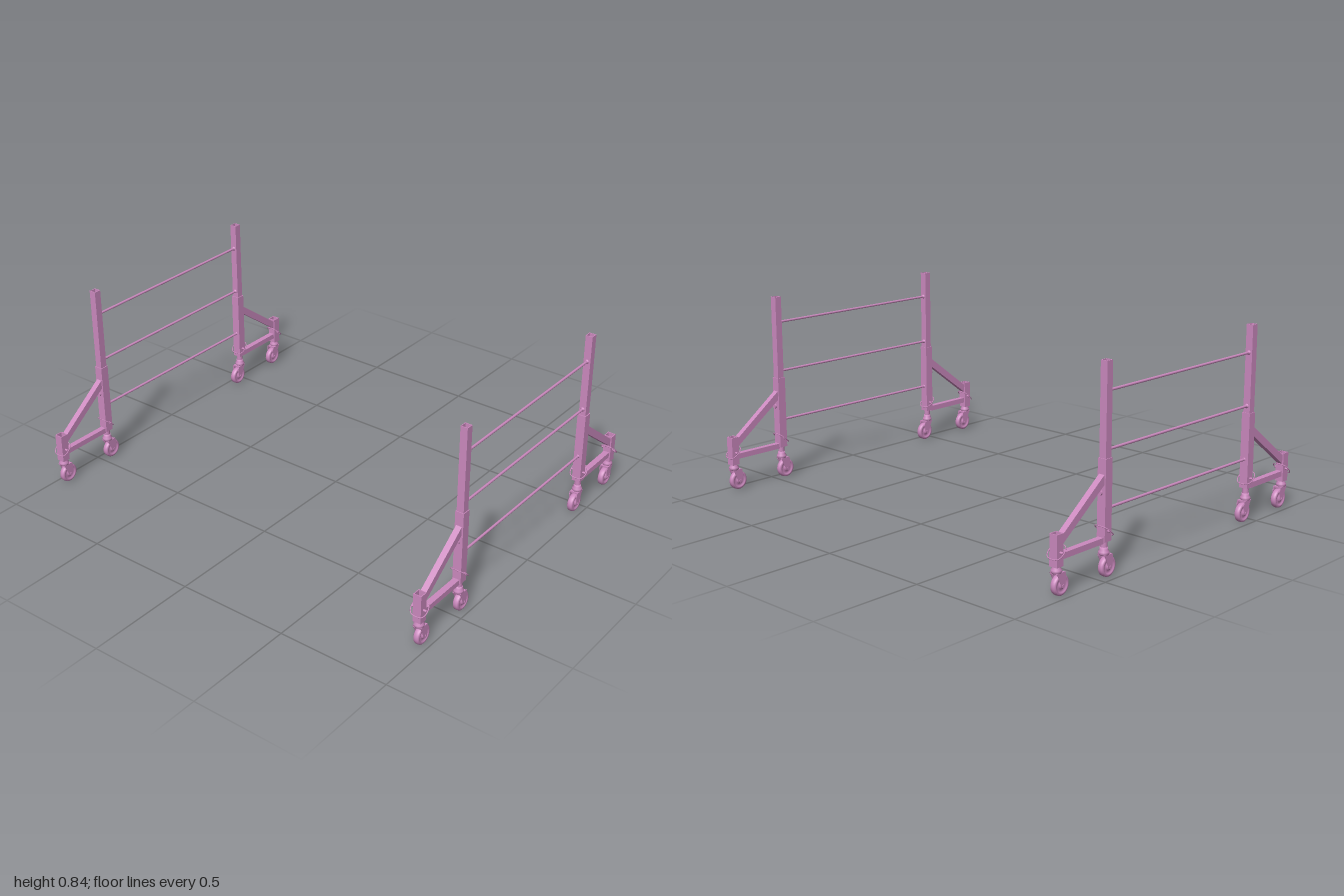
import * as THREE from 'three';

const paint = new THREE.MeshStandardMaterial({ color: 0xcc8abf, side: THREE.DoubleSide });

function add(parent, name, geometry, x = 0, y = 0, z = 0) {
  const mesh = new THREE.Mesh(geometry, paint);
  mesh.name = name;
  mesh.position.set(x, y, z);
  parent.add(mesh);
  return mesh;
}

// Upright square tube, open at both ends, standing on its origin
function squareTube(width, height, wall) {
  const square = (s) => [[-s, -s], [s, -s], [s, s], [-s, s]].map(([x, y]) => new THREE.Vector2(x, y));
  const shape = new THREE.Shape(square(width / 2));
  shape.holes.push(new THREE.Path(square(width / 2 - wall).reverse()));
  return new THREE.ExtrudeGeometry(shape, { depth: height, bevelEnabled: false }).rotateX(-Math.PI / 2);
}

// Plate drawn in the z-y plane and centred on its thickness along x
function sidePlate(points, thickness) {
  const shape = new THREE.Shape(points.map(([z, y]) => new THREE.Vector2(z, y)));
  return new THREE.ExtrudeGeometry(shape, { depth: thickness, bevelEnabled: false })
    .translate(0, 0, -thickness / 2).rotateY(-Math.PI / 2);
}

function lathe(points, segments) {
  return new THREE.LatheGeometry(points.map(([r, y]) => new THREE.Vector2(r, y)), segments);
}

// Swivel caster: stem, head, fork and wheel trailing towards the middle
function makeCaster() {
  const g = new THREE.Group();
  g.name = 'caster';
  add(g, 'casterStem', new THREE.CylinderGeometry(0.014, 0.014, 0.05, 16), 0, 0.14, 0);
  add(g, 'swivelHead', lathe([[0, 0.092], [0.018, 0.092], [0.022, 0.098], [0.022, 0.106],
    [0.016, 0.114], [0.016, 0.124], [0, 0.124]], 20));
  add(g, 'forkCrown', new THREE.BoxGeometry(0.036, 0.006, 0.042), 0, 0.092, -0.006);
  const cheek = sidePlate([[0.016, 0.095], [-0.03, 0.095], [-0.034, 0.075], [-0.028, 0.038],
    [-0.019, 0.031], [-0.01, 0.038], [0.004, 0.072]], 0.003);
  for (const s of [-1, 1]) add(g, 'forkCheek', cheek, s * 0.0175);
  const axle = add(g, 'axle', new THREE.CylinderGeometry(0.006, 0.006, 0.042, 12), 0, 0.042, -0.019);
  axle.rotation.z = Math.PI / 2;
  // Tyre, recessed web and raised hub in one profile
  const wheel = add(g, 'wheel', lathe([[0.004, -0.015], [0.013, -0.015], [0.014, -0.008], [0.027, -0.008],
    [0.029, -0.013], [0.036, -0.013], [0.041, -0.009], [0.042, 0], [0.041, 0.009], [0.036, 0.013],
    [0.029, 0.013], [0.027, 0.008], [0.014, 0.008], [0.013, 0.015], [0.004, 0.015]], 32), 0, 0.042, -0.019);
  wheel.rotation.z = Math.PI / 2;
  return g;
}

// Locking pin with a wire loop snapped round the post
function makeLockPin(tilt) {
  const g = new THREE.Group();
  g.name = 'lockPin';
  const pin = add(g, 'pin', new THREE.CylinderGeometry(0.005, 0.005, 0.066, 10));
  pin.rotation.z = Math.PI / 2;
  const outline = [[0.036, 0], [0.033, 0.018], [0.022, 0.031], [-0.022, 0.031], [-0.033, 0.018],
    [-0.036, 0], [-0.033, -0.018], [-0.022, -0.031], [0.022, -0.031], [0.033, -0.018]];
  const curve = new THREE.CatmullRomCurve3(outline.map(([x, z]) => new THREE.Vector3(x, 0, z)), true);
  add(g, 'wireLoop', new THREE.TubeGeometry(curve, 40, 0.0022, 6, true));
  g.rotation.x = tilt;
  return g;
}

// One end of a frame: post, sleeve, outrigger and two casters
function makeEnd() {
  const g = new THREE.Group();
  g.name = 'frameEnd';
  const inner = 0.466, outer = 0.737;
  add(g, 'post', squareTube(0.032, 0.69, 0.003), 0, 0.155, inner);
  add(g, 'sleeve', squareTube(0.039, 0.325, 0.0036), 0, 0.148, inner);
  add(g, 'outriggerPost', squareTube(0.037, 0.127, 0.0036), 0, 0.118, outer);
  add(g, 'outriggerBar', new THREE.BoxGeometry(0.026, 0.024, 0.236), 0, 0.154, 0.602);
  add(g, 'diagonalBrace', sidePlate([[0.484, 0.413], [0.484, 0.373], [0.72, 0.198], [0.72, 0.235]], 0.026));

  // Tightening knob on the outer face of the sleeve
  const stud = add(g, 'knobStud', new THREE.CylinderGeometry(0.004, 0.004, 0.012, 10), 0, 0.342, 0.489);
  const knob = add(g, 'knob', new THREE.CylinderGeometry(0.01, 0.01, 0.008, 12), 0, 0.342, 0.494);
  stud.rotation.x = knob.rotation.x = Math.PI / 2;

  for (const [z, y, tilt] of [[inner, 0.19, -0.7], [outer, 0.174, 0.75]]) {
    const lock = makeLockPin(tilt);
    lock.position.set(0, y, z);
    const caster = makeCaster();
    caster.position.z = z;
    g.add(lock, caster);
  }
  return g;
}

function makeFrame() {
  const g = new THREE.Group();
  g.name = 'sideFrame';
  const front = makeEnd(), back = makeEnd();
  back.rotation.y = Math.PI;
  g.add(front, back);
  // Ladder rungs with weld collars
  for (const y of [0.728, 0.502, 0.273]) {
    const rung = add(g, 'rung', new THREE.CylinderGeometry(0.0055, 0.0055, 0.9, 12), 0, y, 0);
    rung.rotation.x = Math.PI / 2;
    for (const s of [-1, 1]) {
      const collar = add(g, 'rungCollar', new THREE.CylinderGeometry(0.006, 0.01, 0.007, 12), 0, y, s * 0.447);
      collar.rotation.x = -s * Math.PI / 2;
    }
  }
  return g;
}

export function createModel() {
  const model = new THREE.Group();
  model.name = 'rollingScaffoldFrames';
  for (const s of [-1, 1]) {
    const frame = makeFrame();
    frame.position.x = s * 0.962;
    model.add(frame);
  }
  return model;
}
